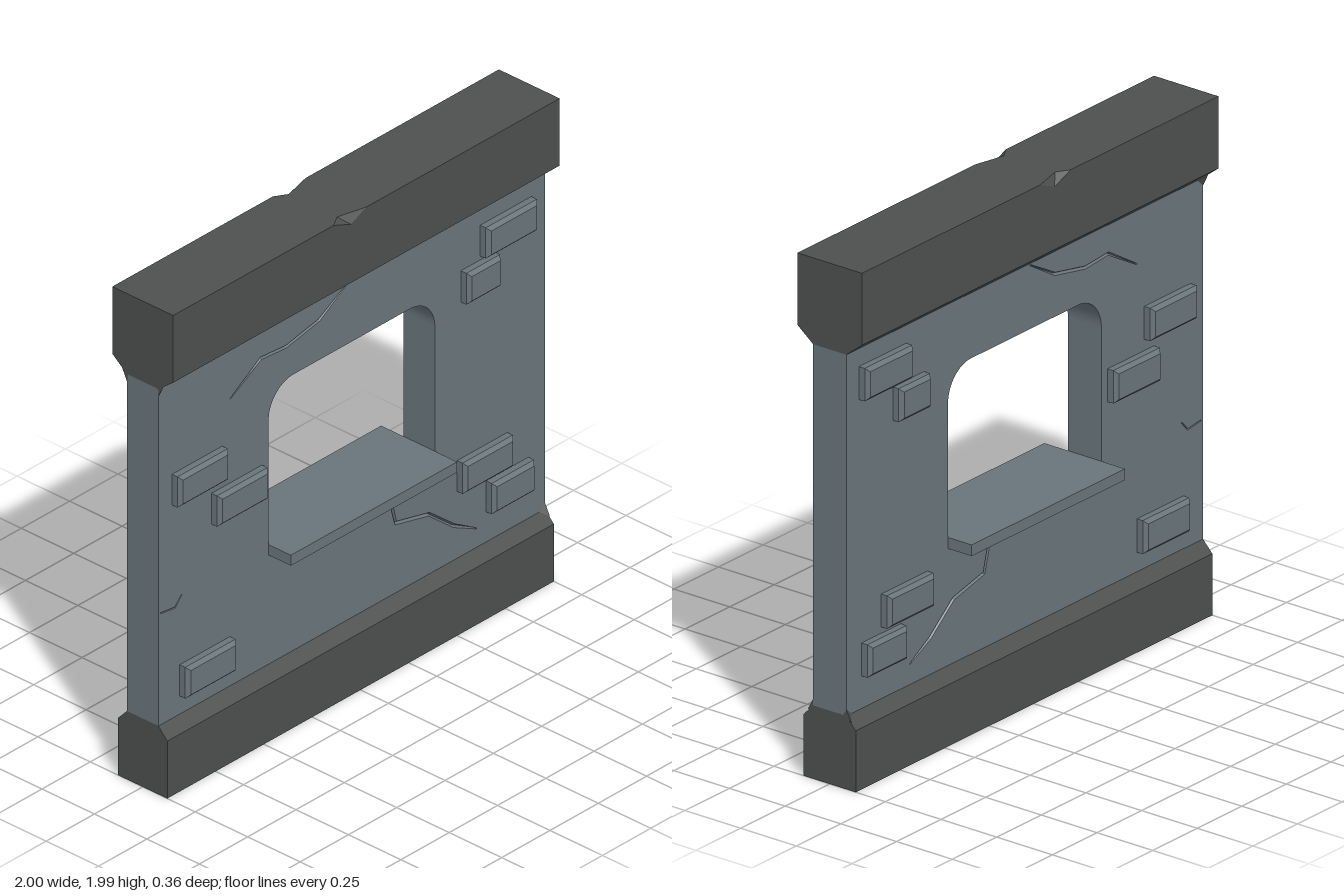
import * as THREE from 'three';
import { ConvexGeometry } from 'three/addons/geometries/ConvexGeometry.js';

const V3 = (x, y, z) => new THREE.Vector3(x, y, z);
const V2 = (x, y) => new THREE.Vector2(x, y);

const wallStone = new THREE.MeshStandardMaterial({ color: 0x69757b, side: THREE.DoubleSide });
wallStone.name = 'wallStone';
const trimStone = new THREE.MeshStandardMaterial({ color: 0x4d504f, side: THREE.DoubleSide });
trimStone.name = 'trimStone';

const WALL_Z = 0.075, WALL_LOW = 0.28, WALL_TOP = 1.66, TOP = 1.99;

function add(parent, name, geometry, material) {
  const mesh = new THREE.Mesh(geometry, material);
  mesh.name = name;
  parent.add(mesh);
  return mesh;
}

// flat-shaded surface from a list of triangle corners
function faces(corners) {
  const g = new THREE.BufferGeometry().setFromPoints(corners);
  g.computeVertexNormals();
  return g;
}

const quad = (a, b, c, d) => [a, b, c, a, c, d];

// open strip between two matching rows of points
function strip(rowA, rowB) {
  const out = [];
  for (let i = 0; i + 1 < rowA.length; i++) out.push(...quad(rowA[i], rowB[i], rowB[i + 1], rowA[i + 1]));
  return faces(out);
}

// outline running along a crack, pointed at both ends
function crackEdges(points, halfWidth) {
  const left = [], right = [];
  points.forEach((p, i) => {
    const before = points[Math.max(i - 1, 0)], after = points[Math.min(i + 1, points.length - 1)];
    const dir = after.clone().sub(before).normalize();
    const w = i === 0 || i === points.length - 1 ? 0.002 : halfWidth;
    left.push(V2(p.x - dir.y * w, p.y + dir.x * w));
    right.push(V2(p.x + dir.y * w, p.y - dir.x * w));
  });
  return { left, right };
}

// block with a chamfered outer face
function brick(w, h, depth, bevel) {
  const g = new THREE.ExtrudeGeometry(
    new THREE.Shape([V2(-w / 2 + bevel, -h / 2 + bevel), V2(w / 2 - bevel, -h / 2 + bevel),
      V2(w / 2 - bevel, h / 2 - bevel), V2(-w / 2 + bevel, h / 2 - bevel)]),
    { depth: depth - bevel, bevelEnabled: true, bevelSegments: 1, bevelSize: bevel, bevelThickness: bevel });
  return g;
}

function windowPath() {
  const p = new THREE.Path();
  p.moveTo(-0.43, 0.73);
  p.lineTo(0.43, 0.73);
  p.lineTo(0.43, 1.28);
  p.absarc(0.3, 1.28, 0.13, 0, Math.PI / 2, false);
  p.lineTo(-0.3, 1.41);
  p.absarc(-0.3, 1.28, 0.13, Math.PI / 2, Math.PI, false);
  p.closePath();
  return p;
}

const BRICKS = [ // x, y of the centre, width, height
  [0.797, 1.528, 0.265, 0.126], [0.652, 1.385, 0.175, 0.128], [-0.8, 1.217, 0.26, 0.126],
  [-0.595, 1.048, 0.26, 0.126], [0.675, 0.617, 0.26, 0.126], [0.805, 0.467, 0.22, 0.126],
  [-0.76, 0.418, 0.26, 0.128],
];

const CRACKS = [
  { half: 0.006, pts: [[-0.63, 1.455], [-0.47, 1.55], [-0.34, 1.54], [-0.17, 1.573], [-0.03, 1.654]] },
  { half: 0.007, pts: [[0.085, 0.72], [0.2, 0.67], [0.228, 0.565], [0.4, 0.525], [0.53, 0.42], [0.645, 0.358]] },
  { half: 0.003, pts: [[-0.99, 0.737], [-0.915, 0.727], [-0.88, 0.765]] },
];

// one face of the wall with its cracks, bricks, trim fronts and corner chips
function makeSide(name) {
  const side = new THREE.Group();
  side.name = name;

  const panel = new THREE.Shape([V2(-1, WALL_LOW), V2(1, WALL_LOW), V2(1, WALL_TOP), V2(-1, WALL_TOP)]);
  panel.holes.push(windowPath());
  for (const { pts, half } of CRACKS) {
    const line = pts.map(([x, y]) => V2(x, y));
    const { left, right } = crackEdges(line, half);
    panel.holes.push(new THREE.Path([...left, ...right.slice().reverse()]));
    const floor = line.map(p => V3(p.x, p.y, WALL_Z - 0.012));
    const lift = row => row.map(p => V3(p.x, p.y, WALL_Z));
    add(side, 'crackUpperSlope', strip(lift(left), floor), wallStone);
    add(side, 'crackLowerSlope', strip(floor, lift(right)), wallStone);
  }
  add(side, 'wallFace', new THREE.ShapeGeometry(panel, 10).translate(0, 0, WALL_Z), wallStone);

  for (const [x, y, w, h] of BRICKS) {
    add(side, 'raisedBrick', brick(w, h, 0.04, 0.014), wallStone).position.set(x, y, WALL_Z);
  }

  // cornice front with a chip out of its upper edge
  const a = V3(-0.17, TOP, 0.145), b = V3(0, TOP, 0.145);
  const f = V3(-0.08, 1.955, 0.145), t = V3(-0.12, TOP, 0.115);
  const front = new THREE.Shape([V2(-1, 1.715), V2(1, 1.715), V2(1, TOP), V2(b.x, TOP), V2(f.x, f.y), V2(a.x, TOP), V2(-1, TOP)]);
  add(side, 'corniceFront', new THREE.ShapeGeometry(front).translate(0, 0, 0.145), trimStone);
  add(side, 'corniceChip', faces([a, f, t, t, f, b]), trimStone);
  const top = new THREE.Shape([V2(-1, 0), V2(-1, -0.145), V2(a.x, -0.145), V2(t.x, -t.z), V2(b.x, -0.145), V2(1, -0.145), V2(1, 0)]);
  add(side, 'corniceTop', new THREE.ShapeGeometry(top).rotateX(-Math.PI / 2).translate(0, TOP, 0), trimStone);
  add(side, 'corniceSlope', faces(quad(V3(-1, WALL_TOP, WALL_Z), V3(1, WALL_TOP, WALL_Z), V3(1, 1.715, 0.145), V3(-1, 1.715, 0.145))), trimStone);

  // base front and its sloped shoulder
  add(side, 'baseFront', faces(quad(V3(-1, 0, 0.117), V3(1, 0, 0.117), V3(1, 0.235, 0.117), V3(-1, 0.235, 0.117))), trimStone);
  add(side, 'baseSlope', faces(quad(V3(-1, 0.235, 0.117), V3(1, 0.235, 0.117), V3(1, WALL_LOW, WALL_Z), V3(-1, WALL_LOW, WALL_Z))), trimStone);

  // small broken lumps in the corners
  add(side, 'upperCornerLump', new ConvexGeometry([V3(-1, 1.66, 0.07), V3(-0.97, 1.66, 0.075), V3(-1, 1.63, 0.075), V3(-1, 1.685, 0.102)]), trimStone);
  add(side, 'lowerCornerLump', new ConvexGeometry([V3(1, 0.28, 0.06), V3(0.97, 0.28, 0.075), V3(1, 0.305, 0.075), V3(1, 0.26, 0.098)]), trimStone);
  return side;
}

// end cap from a half profile of [z, y] points, mirrored across z
function endCap(profile) {
  const pts = [...profile.map(([z, y]) => V2(z, y)), ...profile.slice().reverse().map(([z, y]) => V2(-z, y))];
  return new THREE.ShapeGeometry(new THREE.Shape(pts)).rotateY(Math.PI / 2);
}

export function createModel() {
  const model = new THREE.Group();
  model.name = 'windowWall';

  model.add(makeSide('frontSide'));
  const back = makeSide('backSide');
  back.scale.z = -1;
  model.add(back);

  // window reveal
  const rim = windowPath().getPoints(10);
  add(model, 'windowReveal', strip(rim.map(p => V3(p.x, p.y, -WALL_Z)), rim.map(p => V3(p.x, p.y, WALL_Z))), wallStone);

  // window sill
  add(model, 'windowSill', new THREE.BoxGeometry(0.86, 0.043, 0.362), wallStone).position.y = 0.748;

  // ends of the wall, cornice and base (the base is hollow underneath)
  for (const s of [-1, 1]) {
    const ends = new THREE.Group();
    ends.name = s > 0 ? 'leftEnd' : 'rightEnd';
    add(ends, 'wallEnd', endCap([[WALL_Z, WALL_LOW], [WALL_Z, WALL_TOP]]), wallStone);
    add(ends, 'corniceEnd', endCap([[WALL_Z, WALL_TOP], [0.145, 1.715], [0.145, TOP]]), trimStone);
    add(ends, 'baseEnd', endCap([[0.117, 0], [0.117, 0.235], [WALL_Z, WALL_LOW]]), trimStone);
    ends.scale.x = s;
    ends.position.x = s;
    model.add(ends);
  }
  return model;
}
